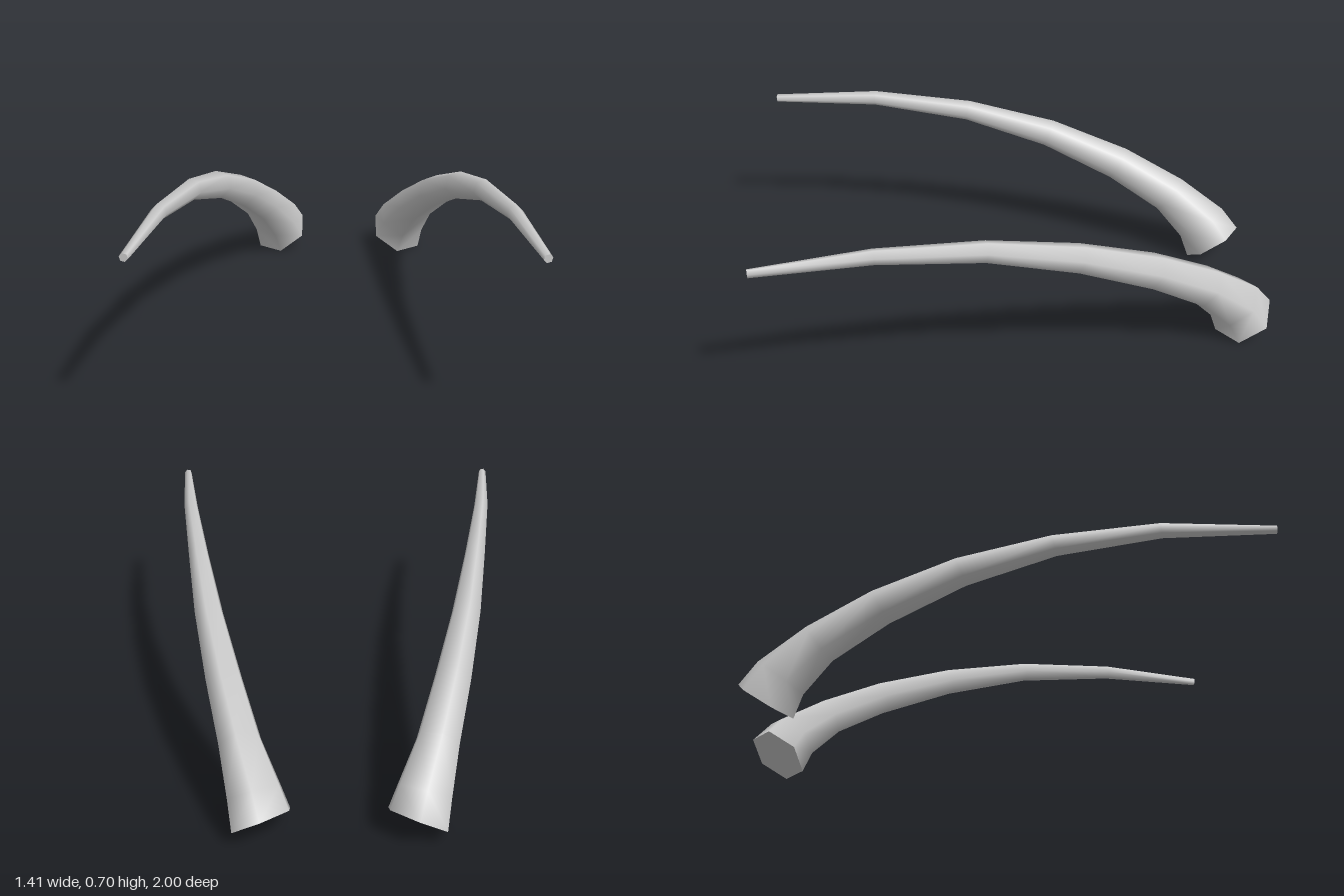
import * as THREE from 'three';

const SIDES = 6;

// Centre line of the left horn from root to tip: x, y, z, radius
const RINGS = [
  [0.28, 0.06, -0.895, 0.126],
  [0.305, 0.148, -0.845, 0.11],
  [0.36, 0.27, -0.705, 0.085],
  [0.428, 0.4, -0.48, 0.073],
  [0.503, 0.525, -0.18, 0.058],
  [0.57, 0.618, 0.17, 0.042],
  [0.637, 0.663, 0.57, 0.03],
  [0.692, 0.655, 1.0, 0.016],
];
const ROOT_NORMAL = new THREE.Vector3(0.355, 0.796, 0.49).normalize();
const ROOT_CORNER = new THREE.Vector3(-0.11, 0, 0.08); // direction of the first corner

// Hexagonal cross-sections carried along the centre line without twist
function hornRings(side) {
  const centres = RINGS.map(([x, y, z]) => new THREE.Vector3(x, y, z));
  const segment = (i) => centres[i + 1].clone().sub(centres[i]).normalize();
  const corner = ROOT_CORNER.clone();
  return centres.map((centre, k) => {
    let tangent = ROOT_NORMAL;
    if (k > 0) {
      tangent = segment(k - 1).multiplyScalar(2);
      if (k < centres.length - 1) tangent.add(segment(k));
      tangent.normalize();
    }
    corner.addScaledVector(tangent, -corner.dot(tangent)).normalize();
    const across = tangent.clone().cross(corner);
    return Array.from({ length: SIDES }, (_, i) => {
      const a = (i / SIDES) * Math.PI * 2;
      const p = centre.clone()
        .addScaledVector(corner, Math.cos(a) * RINGS[k][3])
        .addScaledVector(across, Math.sin(a) * RINGS[k][3]);
      p.x *= side;
      return p;
    });
  });
}

function build(points, triangles, flip) {
  const geometry = new THREE.BufferGeometry().setFromPoints(points);
  geometry.setIndex(triangles.flatMap(([a, b, c]) => (flip ? [a, c, b] : [a, b, c])));
  geometry.computeVertexNormals();
  return geometry;
}

// Smooth wall joining neighbouring rings
function wallGeometry(rings, flip) {
  const triangles = [];
  for (let k = 0; k < rings.length - 1; k++) {
    for (let i = 0; i < SIDES; i++) {
      const a = k * SIDES + i;
      const b = k * SIDES + (i + 1) % SIDES;
      triangles.push([a, b, b + SIDES], [a, b + SIDES, a + SIDES]);
    }
  }
  return build(rings.flat(), triangles, flip);
}

// Flat end cap
function capGeometry(ring, flip) {
  const triangles = [];
  for (let i = 1; i < SIDES - 1; i++) triangles.push([0, i, i + 1]);
  return build(ring, triangles, flip);
}

export function createModel() {
  const group = new THREE.Group();
  group.name = 'hornPair';
  const grey = new THREE.MeshStandardMaterial({ color: 0xcccccc });
  grey.name = 'light grey';

  for (const side of [1, -1]) {
    const horn = new THREE.Group();
    horn.name = side > 0 ? 'leftHorn' : 'rightHorn';
    const rings = hornRings(side);
    const mirrored = side < 0;
    const parts = {
      hornShaft: wallGeometry(rings, mirrored),
      hornRoot: capGeometry(rings[0], !mirrored),
      hornTip: capGeometry(rings[rings.length - 1], mirrored),
    };
    for (const [name, geometry] of Object.entries(parts)) {
      const mesh = new THREE.Mesh(geometry, grey);
      mesh.name = name;
      horn.add(mesh);
    }
    group.add(horn);
  }
  return group;
}
